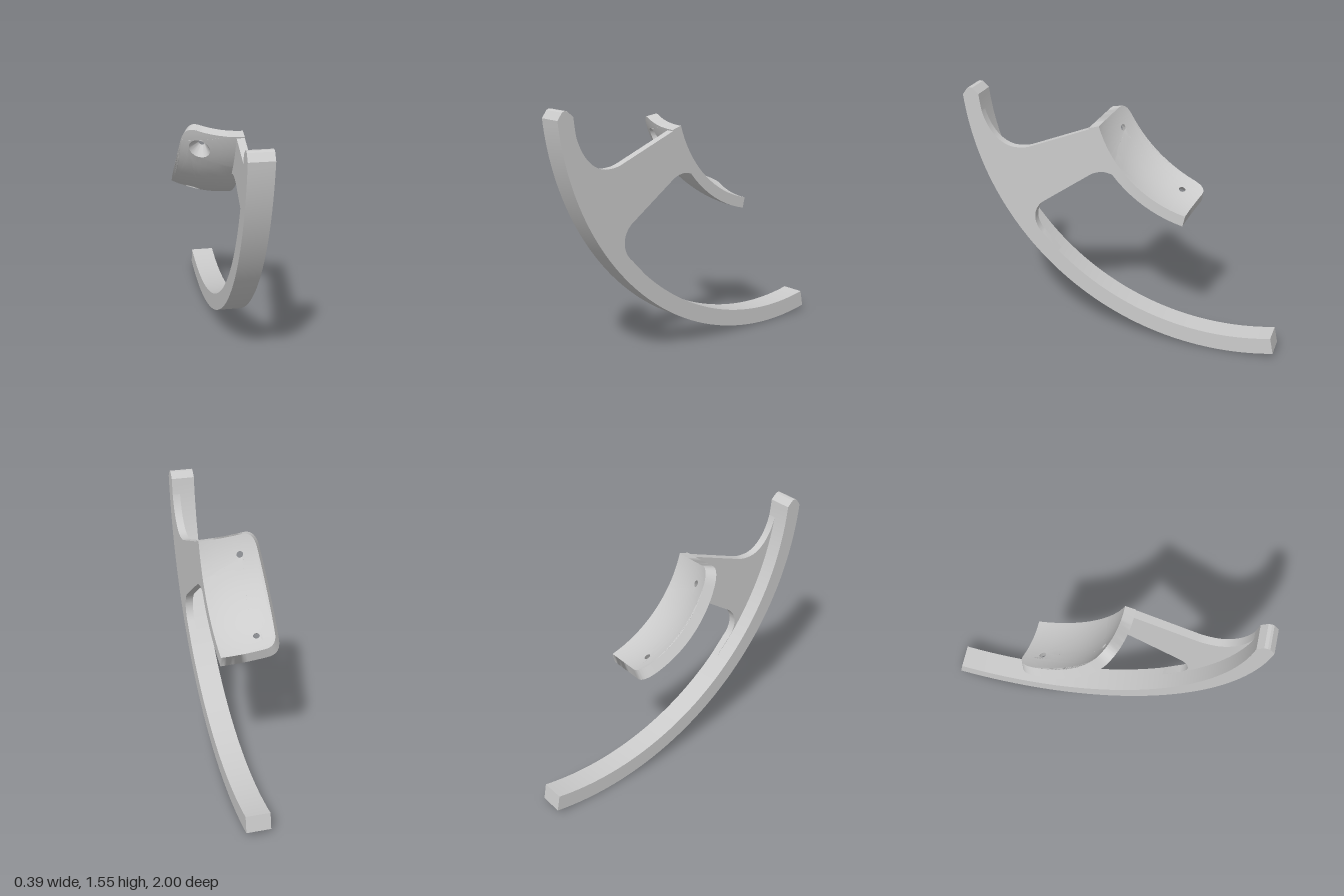
import * as THREE from 'three';
import { toCreasedNormals } from 'three/addons/utils/BufferGeometryUtils.js';

const SIDE = 0.19; // flat side of the whole hook
const material = new THREE.MeshStandardMaterial({ color: 0xcccccc });

function addMesh(group, name, geometry) {
  const mesh = new THREE.Mesh(toCreasedNormals(geometry, 0.5), material);
  mesh.name = name;
  group.add(mesh);
}

// Extrude a (z, y) profile from the flat side towards -x
function sideExtrude(shape, width) {
  const g = new THREE.ExtrudeGeometry(shape, { depth: width, bevelEnabled: false, curveSegments: 32 });
  return g.rotateY(-Math.PI / 2).translate(SIDE, 0, 0);
}

// Large curved bar
const BAR = { z: -0.67, y: 1.68, outer: 1.68, inner: 1.575, tip: -0.107, tail: -1.768 };
function barShape() {
  const s = new THREE.Shape();
  s.absarc(BAR.z, BAR.y, BAR.outer, BAR.tail, BAR.tip, false);
  s.lineTo(0.97, 1.543);
  s.lineTo(0.955, 1.55);
  s.lineTo(0.935, 1.548);
  s.absarc(BAR.z, BAR.y, BAR.inner, BAR.tip, BAR.tail, true);
  s.closePath();
  return s;
}

// Thin web joining the bar to the plate, with filleted corners
function webShape() {
  const s = new THREE.Shape();
  s.moveTo(0.893, 1.46);
  s.bezierCurveTo(0.86, 1.27, 0.75, 1.19, 0.66, 1.195);
  s.quadraticCurveTo(0.61, 1.195, 0.57, 1.21);
  s.lineTo(0.125, 1.388);
  s.lineTo(0.056, 1.18);
  s.lineTo(-0.045, 1.045);
  s.quadraticCurveTo(0.03, 1.1, 0.09, 1.102);
  s.quadraticCurveTo(0.15, 1.1, 0.2, 1.06);
  s.lineTo(0.5, 0.85);
  s.bezierCurveTo(0.58, 0.78, 0.56, 0.68, 0.5, 0.63);
  s.lineTo(0.4, 0.524);
  s.absarc(BAR.z, BAR.y, 1.6, -0.82, -0.14, false);
  s.closePath();
  return s;
}

// Bowl mapping for the plate: a runs across, s along the profile, d through the thickness
const BOWL = { z: -0.59, y: 1.6, r: 0.74, mid: -0.813, thickness: 0.068 };
function bend(a, s, d) {
  const phi = a / BOWL.r;
  const rho = (BOWL.r + d) * Math.cos(phi);
  const theta = BOWL.mid + s / (BOWL.r * Math.cos(phi));
  return [
    SIDE - (BOWL.r + d) * Math.sin(phi),
    BOWL.y + rho * Math.sin(theta),
    BOWL.z + rho * Math.cos(theta),
  ];
}

// Split every triangle into four, several times
function subdivide(tris, times) {
  const mid = (p, q) => [(p[0] + q[0]) / 2, (p[1] + q[1]) / 2];
  for (let i = 0; i < times; i++) {
    tris = tris.flatMap(([p, q, r]) => {
      const pq = mid(p, q), qr = mid(q, r), rp = mid(r, p);
      return [[p, pq, rp], [pq, q, qr], [rp, qr, r], [pq, qr, rp]];
    });
  }
  return tris;
}

// Rounded outline; straight edges are sampled as curves so that they can bend
function plateOutline() {
  const p = new THREE.Path();
  p.moveTo(0, -0.39);
  p.quadraticCurveTo(0.135, -0.39, 0.27, -0.39);
  p.quadraticCurveTo(0.34, -0.385, 0.355, -0.28);
  p.quadraticCurveTo(0.397, 0, 0.355, 0.28);
  p.quadraticCurveTo(0.34, 0.385, 0.27, 0.39);
  p.quadraticCurveTo(0.135, 0.39, 0, 0.39);
  p.quadraticCurveTo(0, 0, 0, -0.39);
  const pts = p.getPoints(16);
  if (pts[0].distanceTo(pts[pts.length - 1]) < 1e-6) pts.pop();
  return pts;
}

function circle(a, s, r, n = 28) {
  return Array.from({ length: n }, (_, i) => {
    const t = (i / n) * Math.PI * 2;
    return new THREE.Vector2(a + r * Math.cos(t), s + r * Math.sin(t));
  });
}

function plateGeometry() {
  const T = BOWL.thickness;
  const outline = plateOutline();
  const holes = [-0.27, 0.27].map((s) => ({ back: circle(0.244, s, 0.02), front: circle(0.244, s, 0.06) }));
  const pos = [];

  // Front and back faces
  const cap = (side, d, flip) => {
    const shape = new THREE.Shape(outline);
    shape.holes = holes.map((h) => new THREE.Path(h[side]));
    const g = new THREE.ShapeGeometry(shape).toNonIndexed();
    const v = g.attributes.position;
    const tris = [];
    for (let i = 0; i < v.count; i += 3) {
      tris.push([0, 1, 2].map((k) => [v.getX(i + k), v.getY(i + k)]));
    }
    for (const [p, q, r] of subdivide(tris, 3)) {
      for (const c of flip ? [p, r, q] : [p, q, r]) pos.push(...bend(c[0], c[1], d));
    }
  };
  cap('back', 0, false);
  cap('front', T, true);

  // Rim and countersunk hole walls
  const wall = (back, front) => {
    for (let i = 0; i < back.length; i++) {
      const j = (i + 1) % back.length;
      const f0 = bend(front[i].x, front[i].y, T), f1 = bend(front[j].x, front[j].y, T);
      const b0 = bend(back[i].x, back[i].y, 0), b1 = bend(back[j].x, back[j].y, 0);
      pos.push(...f0, ...f1, ...b1, ...f0, ...b1, ...b0);
    }
  };
  wall(outline, outline);
  for (const h of holes) wall([...h.back].reverse(), [...h.front].reverse());

  const g = new THREE.BufferGeometry();
  g.setAttribute('position', new THREE.Float32BufferAttribute(pos, 3));
  return g;
}

export function createModel() {
  const group = new THREE.Group();
  group.name = 'wallHook';
  addMesh(group, 'curvedBar', sideExtrude(barShape(), 0.15));
  addMesh(group, 'web', sideExtrude(webShape(), 0.05));
  addMesh(group, 'mountingPlate', plateGeometry());
  return group;
}
